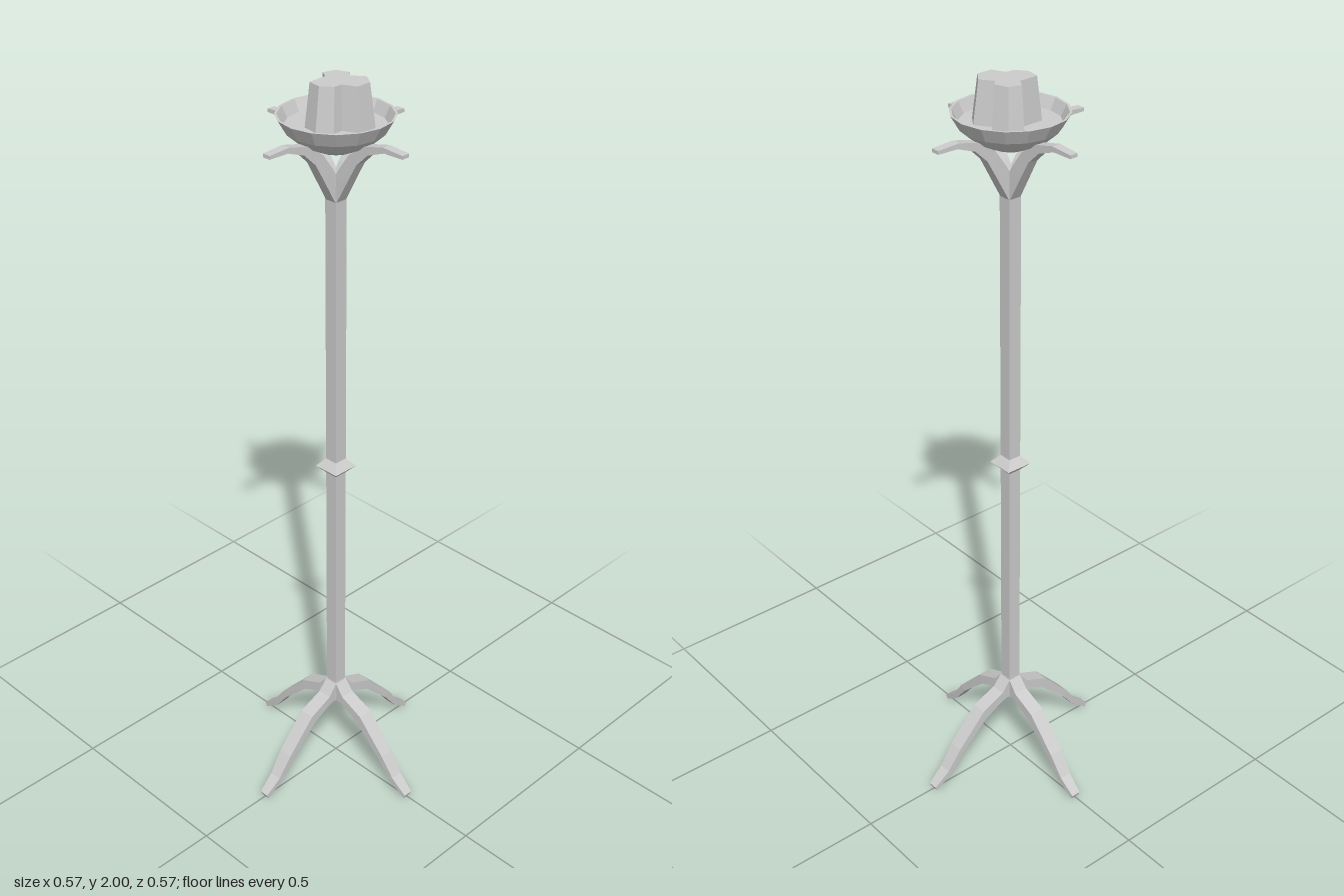
import * as THREE from 'three';

const material = new THREE.MeshStandardMaterial({ color: 0xcccccc, flatShading: true });

// Skins a row of closed rings (counter-clockwise seen from the last ring's side) and caps both ends
function loft(rings) {
  const n = rings[0].length;
  const pos = rings.flat(2);
  const index = [];
  for (let i = 0; i < rings.length - 1; i++) {
    for (let j = 0; j < n; j++) {
      const a = i * n + j, b = i * n + (j + 1) % n;
      index.push(a, b, b + n, a, b + n, a + n);
    }
  }
  [0, rings.length - 1].forEach((r, end) => {
    const centre = pos.length / 3;
    for (let k = 0; k < 3; k++) pos.push(rings[r].reduce((s, p) => s + p[k], 0) / n);
    for (let j = 0; j < n; j++) {
      const a = r * n + j, b = r * n + (j + 1) % n;
      index.push(centre, ...(end ? [a, b] : [b, a]));
    }
  });
  const g = new THREE.BufferGeometry();
  g.setAttribute('position', new THREE.Float32BufferAttribute(pos, 3));
  g.setIndex(index);
  const flat = g.toNonIndexed();
  flat.computeVertexNormals();
  return flat;
}

// Limb reaching along +x; each section is [top x, top y, bottom x, bottom y, half width]
const limb = (sections) => loft(sections.map(([tx, ty, bx, by, w]) =>
  [[tx, ty, w], [bx, by, w], [bx, by, -w], [tx, ty, -w]]));

// Upright square column; each section is [y, half width]
const column = (sections) => loft(sections.map(([y, w]) =>
  [[w, y, w], [w, y, -w], [-w, y, -w], [-w, y, w]]));

export function createModel() {
  const model = new THREE.Group();
  const add = (name, geometry, angle = 0) => {
    const mesh = new THREE.Mesh(geometry, material);
    mesh.name = name;
    mesh.rotation.y = angle;
    model.add(mesh);
  };

  // Square shaft with a flared collar halfway up
  add('shaft', column([[0.21, 0.018], [1.75, 0.018]]));
  add('collar', column([[0.948, 0.018], [0.968, 0.037], [0.99, 0.018]]));

  // Four curved feet and four curling arms under the bowl
  const leg = limb([
    [0.0, 0.265, 0.0, 0.205, 0.019],
    [0.017, 0.265, 0.03, 0.205, 0.019],
    [0.045, 0.23, 0.05, 0.2, 0.02],
    [0.115, 0.2, 0.105, 0.172, 0.021],
    [0.2, 0.108, 0.188, 0.092, 0.02],
    [0.24, 0.05, 0.23, 0.036, 0.017],
    [0.285, 0.012, 0.28, 0.0, 0.013],
  ]);
  const arm = limb([
    [0.0, 1.755, 0.018, 1.71, 0.016],
    [0.024, 1.795, 0.06, 1.785, 0.015],
    [0.055, 1.838, 0.08, 1.82, 0.014],
    [0.1, 1.87, 0.115, 1.853, 0.013],
    [0.16, 1.884, 0.165, 1.871, 0.012],
    [0.22, 1.88, 0.22, 1.871, 0.011],
  ]);
  for (let i = 0; i < 4; i++) {
    add('leg', leg, i * Math.PI / 2);
    add('arm', arm, i * Math.PI / 2);
  }

  // Shallow drip bowl with a bevelled inner wall and flat floor
  const bowl = [[0, 1.83], [0.045, 1.836], [0.09, 1.857], [0.122, 1.885],
    [0.143, 1.921], [0.137, 1.921], [0.123, 1.893], [0, 1.893]]
    .map(([r, y]) => new THREE.Vector2(r, y));
  add('bowl', new THREE.LatheGeometry(bowl, 16));

  // Three-lobed candle, narrowing towards the top
  const lobes = [[-0.071, -0.018], [-0.043, 0], [-0.039, 0.063], [0.005, 0.071],
    [0.038, 0.045], [0.038, 0.018], [0.08, 0], [0.079, -0.05],
    [0.039, -0.079], [0, -0.052], [-0.02, -0.072], [-0.061, -0.057]];
  const ring = (y, s) => lobes.map(([x, z]) => [0.004 + (x - 0.004) * s, y, z * s - 0.003 * (1 - s)]);
  add('candle', loft([ring(1.893, 1), ring(2, 0.84)]));

  return model;
}
